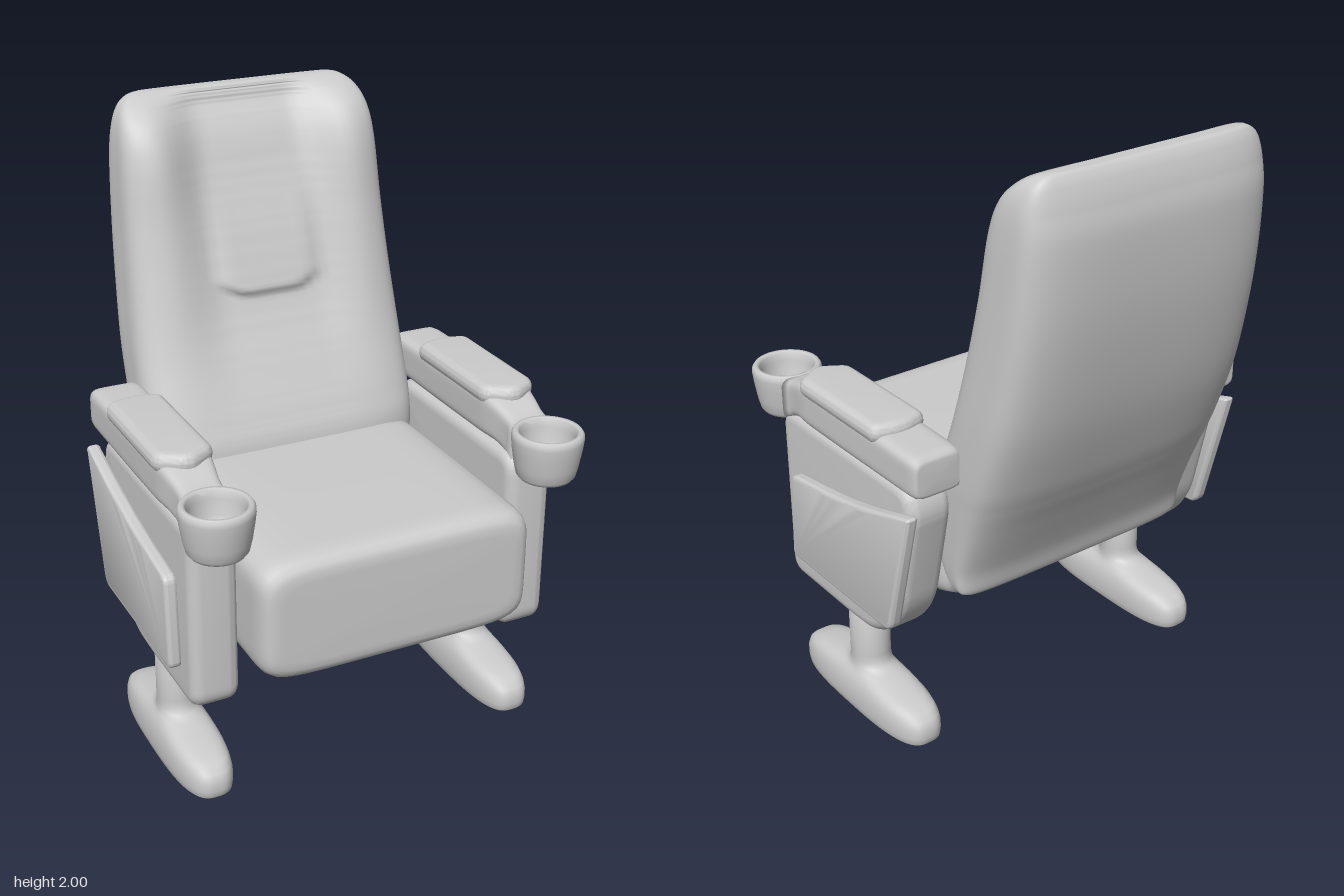
import * as THREE from 'three';
import { toCreasedNormals } from 'three/addons/utils/BufferGeometryUtils.js';

const material = new THREE.MeshStandardMaterial({ color: 0xcccccc });
const smooth = THREE.MathUtils.smoothstep;

function add(parent, name, geometry, x = 0, y = 0, z = 0) {
  const mesh = new THREE.Mesh(geometry, material);
  mesh.name = name;
  mesh.position.set(x, y, z);
  parent.add(mesh);
}

// Resample rows of numbers with a smooth curve through every column
function resample(rows, count) {
  const curves = rows[0].map((_, c) => new THREE.SplineCurve(rows.map((r, i) => new THREE.Vector2(i, r[c]))));
  return Array.from({ length: count + 1 }, (_, i) => curves.map((c) => c.getPoint(i / count).y));
}

// Loft of rounded sections along 'y' or 'z'; row = [position, half width in x, low, high, squareness]
function loft(axis, rows, seg = 64, shape = null) {
  const pos = [], index = [];
  const put = (x, v, p) => (axis === 'y' ? pos.push(x, p, v) : pos.push(x, v, p));
  const tri = (a, b, c) => (axis === 'y' ? index.push(a, c, b) : index.push(a, b, c));
  for (const [p, w, lo, hi, n] of rows) {
    for (let j = 0; j < seg; j++) {
      const t = (j / seg) * Math.PI * 2, c = Math.cos(t), s = Math.sin(t);
      const k = Math.pow(Math.abs(c) ** n + Math.abs(s) ** n, -1 / n);
      const x = w * c * k;
      let v = (lo + hi) / 2 + ((hi - lo) / 2) * s * k;
      if (shape && s > 0) v += shape(x, p);
      put(x, v, p);
    }
  }
  const last = rows.length - 1;
  for (const r of [rows[0], rows[last]]) put(0, (r[2] + r[3]) / 2, r[0]);
  const start = rows.length * seg;
  for (let j = 0; j < seg; j++) {
    const k = (j + 1) % seg;
    for (let i = 0; i < last; i++) {
      const a = i * seg + j, b = i * seg + k;
      tri(a, b, b + seg);
      tri(a, b + seg, a + seg);
    }
    tri(start, k, j);
    tri(start + 1, last * seg + j, last * seg + k);
  }
  const g = new THREE.BufferGeometry();
  g.setAttribute('position', new THREE.Float32BufferAttribute(pos, 3));
  g.setIndex(index);
  g.computeVertexNormals();
  return g;
}

// Polygon with rounded corners; each corner = [x, y, radius]
function roundedShape(corners) {
  const s = new THREE.Shape();
  const n = corners.length;
  corners.forEach(([x, y, r], i) => {
    const here = new THREE.Vector2(x, y);
    const toward = (c) => {
      const d = new THREE.Vector2(c[0], c[1]).sub(here);
      return d.setLength(Math.min(r, d.length() * 0.49)).add(here);
    };
    const a = toward(corners[(i + n - 1) % n]), b = toward(corners[(i + 1) % n]);
    if (i === 0) s.moveTo(a.x, a.y);
    else s.lineTo(a.x, a.y);
    s.quadraticCurveTo(x, y, b.x, b.y);
  });
  s.closePath();
  return s;
}

// Bevelled slab centred on its thickness
function slab(corners, thickness, bevel) {
  const g = new THREE.ExtrudeGeometry(roundedShape(corners), {
    depth: thickness - 2 * bevel, bevelThickness: bevel, bevelSize: bevel,
    bevelOffset: -bevel, bevelSegments: 6, curveSegments: 10,
  });
  g.translate(0, 0, bevel - thickness / 2);
  return toCreasedNormals(g, 0.7);
}

// Backrest front: hollow between the side bolsters, with a raised head pad
const hollow = new THREE.SplineCurve([[0.5, 0], [0.9, 0], [1.15, 0.02], [1.34, 0.05], [1.6, 0.07], [1.8, 0.1],
  [1.92, 0.1], [1.97, 0.06], [2.0, 0]].map(([y, d]) => new THREE.Vector2(y, d))).getPoints(200);
function backFront(x, y) {
  const ax = Math.abs(x);
  const depth = (hollow.find((p) => p.x >= y) || hollow[200]).y;
  const lift = y - 0.5 * Math.max(0, ax - 0.1);
  const pad = 0.022 * smooth(lift, 1.345, 1.375) * (1 - smooth(lift, 1.4, 1.8)) * (1 - smooth(ax, 0.14, 0.2));
  return pad - depth * (1 - smooth(ax, 0.15, 0.36));
}

export function createModel() {
  const chair = new THREE.Group();
  chair.name = 'theaterSeat';

  add(chair, 'backrest', loft('y', resample([
    [0.55, 0.42, -0.285, -0.225, 4], [0.57, 0.45, -0.295, -0.2, 4], [0.65, 0.465, -0.32, -0.14, 4],
    [0.8, 0.475, -0.39, -0.105, 4], [0.9, 0.48, -0.44, -0.1, 4], [1.0, 0.483, -0.485, -0.13, 4],
    [1.2, 0.48, -0.557, -0.205, 4], [1.4, 0.47, -0.607, -0.262, 4], [1.6, 0.46, -0.64, -0.31, 4],
    [1.8, 0.45, -0.652, -0.35, 4], [1.9, 0.438, -0.638, -0.395, 4], [1.96, 0.415, -0.62, -0.46, 4],
    [1.99, 0.38, -0.603, -0.52, 4], [2.0, 0.34, -0.59, -0.555, 4],
  ], 200), 112, backFront));

  add(chair, 'seatCushion', loft('z', [
    [-0.2, 0.42, 0.53, 0.84, 7], [-0.185, 0.45, 0.495, 0.875, 7], [-0.14, 0.46, 0.48, 0.888, 7],
    [-0.08, 0.46, 0.478, 0.89, 7], [0.25, 0.46, 0.478, 0.892, 7], [0.54, 0.461, 0.478, 0.89, 7],
    [0.58, 0.459, 0.481, 0.887, 7], [0.61, 0.451, 0.488, 0.879, 7], [0.626, 0.438, 0.502, 0.865, 7],
    [0.633, 0.42, 0.52, 0.847, 7], [0.636, 0.39, 0.545, 0.82, 7],
  ], 96));

  const foot = loft('y', [
    [0, 0.088, -0.33, 0.33, 3], [0.008, 0.095, -0.338, 0.338, 3], [0.03, 0.098, -0.342, 0.342, 3],
    [0.06, 0.098, -0.341, 0.341, 3], [0.085, 0.095, -0.33, 0.33, 3], [0.105, 0.09, -0.305, 0.305, 3],
    [0.12, 0.084, -0.255, 0.255, 2.8], [0.132, 0.077, -0.19, 0.19, 2.5], [0.143, 0.071, -0.125, 0.125, 2.2],
    [0.155, 0.067, -0.085, 0.085, 2], [0.175, 0.065, -0.073, 0.073, 2], [0.2, 0.065, -0.071, 0.071, 2],
    [0.38, 0.065, -0.071, 0.071, 2],
  ]);

  const panel = slab([
    [0.48, 0.353, 0.07], [0.48, 0.985, 0.08], [-0.24, 0.985, 0.06], [-0.275, 0.9, 0.05],
    [-0.18, 0.49, 0.1], [-0.05, 0.36, 0.14], [0.1, 0.35, 0.05],
  ], 0.16, 0.04).rotateY(-Math.PI / 2);

  const flap = slab([
    [0.392, 0.468, 0.03], [0.372, 0.782, 0.03], [0.03, 0.83, 0.2], [-0.312, 0.93, 0.02], [-0.19, 0.468, 0.04],
  ], 0.045, 0.014).rotateY(-Math.PI / 2);

  const armrest = loft('z', [
    [-0.325, 0.072, 1.0, 1.1, 6], [-0.321, 0.08, 0.99, 1.112, 6], [-0.31, 0.085, 0.986, 1.119, 6],
    [-0.28, 0.088, 0.985, 1.122, 6], [0.1, 0.09, 0.985, 1.13, 6], [0.27, 0.089, 0.985, 1.13, 6],
    [0.31, 0.086, 0.985, 1.127, 6], [0.35, 0.079, 0.983, 1.115, 6], [0.39, 0.072, 0.972, 1.1, 6],
    [0.42, 0.071, 0.955, 1.09, 6], [0.45, 0.074, 0.94, 1.086, 6],
  ]);

  const armPad = slab([
    [-0.097, -0.3, 0.03], [0, -0.36, 0.04], [0.097, -0.3, 0.03],
    [0.097, 0.125, 0.03], [0, 0.155, 0.08], [-0.097, 0.125, 0.03],
  ], 0.066, 0.03).rotateX(-Math.PI / 2);

  const cup = new THREE.LatheGeometry([
    [0, 0.928], [0.07, 0.928], [0.084, 0.932], [0.094, 0.945], [0.102, 0.98], [0.11, 1.03], [0.114, 1.065],
    [0.113, 1.08], [0.106, 1.09], [0.096, 1.09], [0.089, 1.082], [0.085, 1.06], [0.078, 1.01],
    [0.066, 0.985], [0.045, 0.975], [0, 0.972],
  ].map(([r, y]) => new THREE.Vector2(r, y)), 40);

  // Matching arm assembly on each side
  for (const [side, s] of [['left', 1], ['right', -1]]) {
    const arm = new THREE.Group();
    arm.name = side + 'Arm';
    add(arm, 'footAndPost', foot, s * 0.545, 0, 0.12);
    add(arm, 'sidePanel', panel, s * 0.545);
    add(arm, 'outerPanel', flap, s * 0.643);
    add(arm, 'armrest', armrest, s * 0.556);
    add(arm, 'armPad', armPad, s * 0.558, 1.123);
    add(arm, 'cupHolder', cup, s * 0.557, 0, 0.537);
    chair.add(arm);
  }
  return chair;
}
